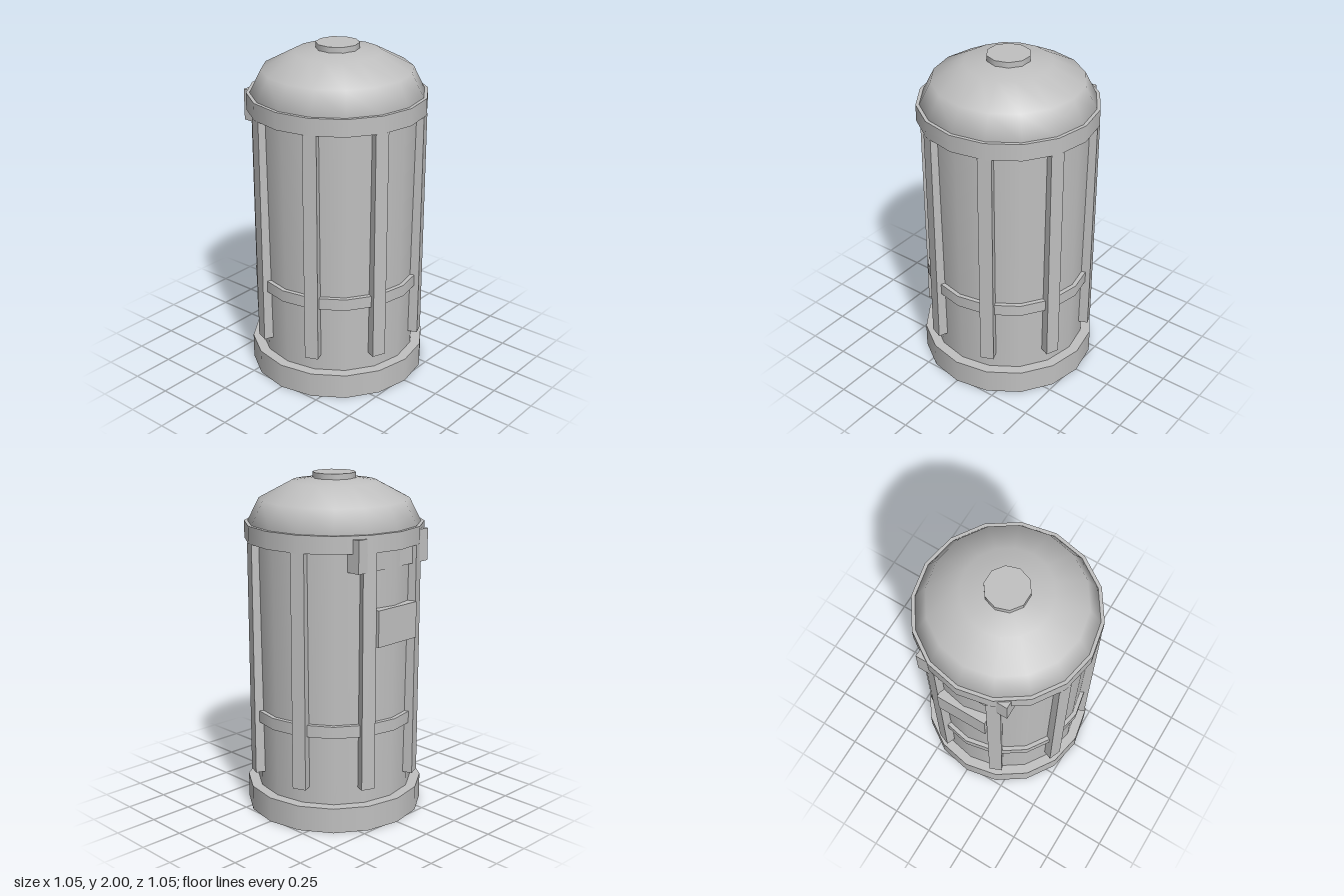
import * as THREE from 'three';

export function createModel() {
  const group = new THREE.Group();
  const metal = new THREE.MeshStandardMaterial({ color: 0xc0c0c0 });
  metal.name = 'grey metal';

  function add(name, geometry, x = 0, y = 0, z = 0) {
    const mesh = new THREE.Mesh(geometry, metal);
    mesh.name = name;
    mesh.position.set(x, y, z);
    group.add(mesh);
    return mesh;
  }

  // Upright drum between two heights
  function drum(name, rTop, rBottom, y0, y1, sides = 16) {
    return add(name, new THREE.CylinderGeometry(rTop, rBottom, y1 - y0, sides), 0, (y0 + y1) / 2, 0);
  }

  // Stacked round parts
  drum('base', 0.525, 0.525, 0, 0.15);
  drum('body', 0.48, 0.465, 0.15, 1.62);
  drum('hoop', 0.495, 0.495, 0.565, 0.635);
  drum('topRing', 0.52, 0.52, 1.62, 1.72);
  drum('cap', 0.125, 0.125, 1.96, 2, 10);

  // Flattened dome, three steps high, turned so its corners match the drums
  const domeGeometry = new THREE.SphereGeometry(0.5, 16, 3, 0, Math.PI * 2, 0, Math.PI / 2);
  domeGeometry.scale(1, 0.53, 1);
  add('dome', domeGeometry, 0, 1.72, 0);

  // Eight vertical ribs around the body
  const ribGeometry = new THREE.BoxGeometry(0.08, 1.37, 0.085);
  ribGeometry.translate(0, 0, 0.4725);
  for (let i = 0; i < 8; i++) {
    const rib = add('rib' + (i + 1), ribGeometry, 0, 0.935, 0);
    rib.rotation.y = (i + 0.5) * Math.PI / 4;
  }

  // Back fittings: a hanging bar through the shell and a flat plate
  add('backBar', new THREE.BoxGeometry(0.56, 0.185, 0.085), 0, 1.6075, -0.4275);
  add('backPlate', new THREE.BoxGeometry(0.31, 0.21, 0.065), 0, 1.195, -0.4725);

  return group;
}
